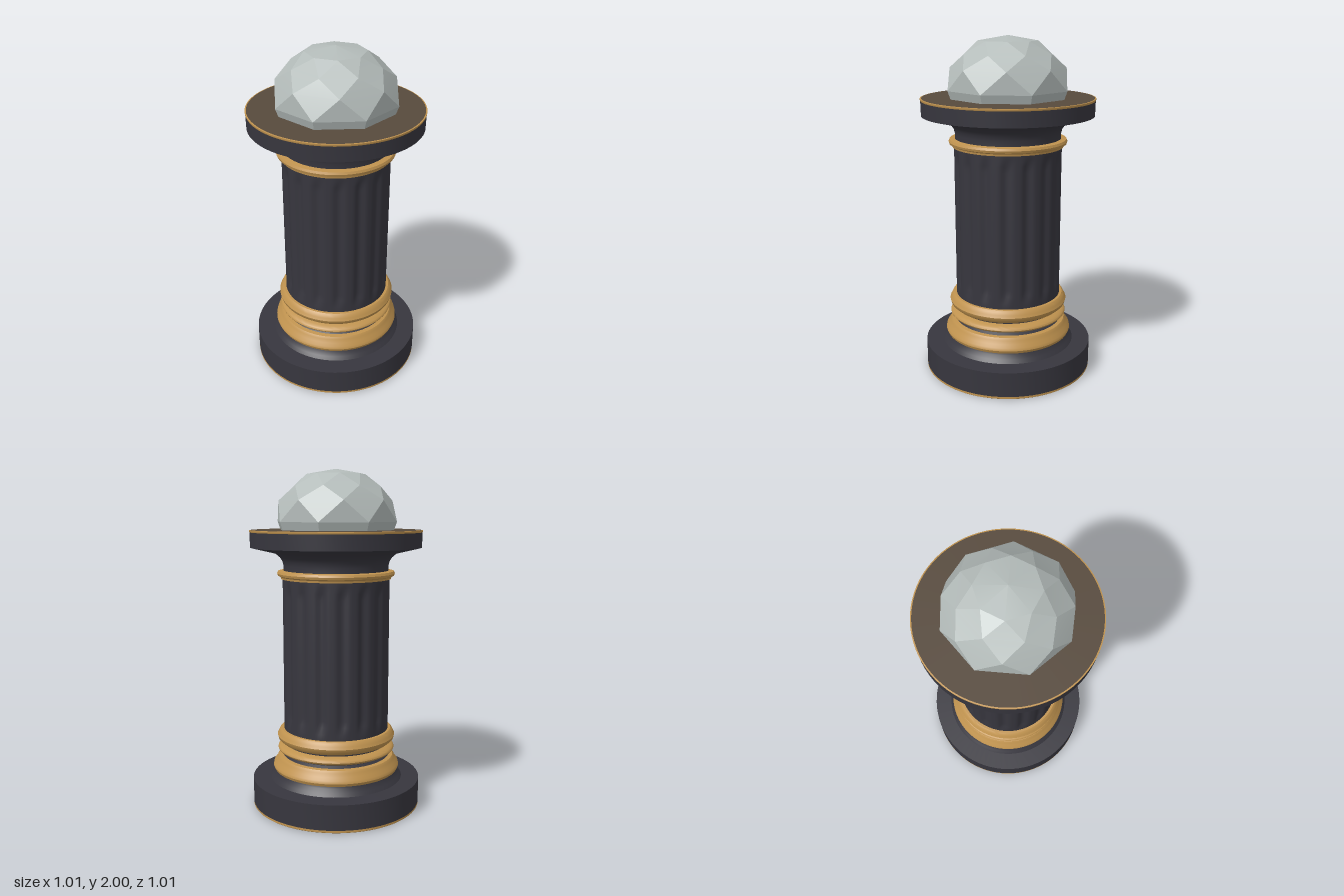
import * as THREE from 'three';
import { toCreasedNormals } from 'three/addons/utils/BufferGeometryUtils.js';

const mat = (name, color) => {
  const m = new THREE.MeshStandardMaterial({ color });
  m.name = name;
  return m;
};

export function createModel() {
  const group = new THREE.Group();
  const charcoal = mat('charcoal stone', 0x37363e);
  const gold = mat('gold trim', 0xc0934f);
  const brown = mat('dark bronze', 0x574a3d);
  const pale = mat('pale crystal', 0xb4bcba);

  const add = (name, geometry, material) => {
    const mesh = new THREE.Mesh(geometry, material);
    mesh.name = name;
    group.add(mesh);
    return mesh;
  };
  // Turned part from [radius, height] pairs, listed bottom to top
  const turn = (name, material, pts) => add(name, toCreasedNormals(
    new THREE.LatheGeometry(pts.map(p => new THREE.Vector2(...p)), 80), 0.6), material);
  // Rounded moulding bulging between two heights
  const moulding = (name, r0, y0, rMax, r1, y1) => {
    const pts = [];
    for (let i = 0; i <= 10; i++) {
      const t = i / 10, base = r0 + (r1 - r0) * t;
      pts.push([base + (rMax - (r0 + r1) / 2) * Math.sin(Math.PI * t) ** 0.7, y0 + (y1 - y0) * t]);
    }
    turn(name, gold, pts);
  };

  // Plinth
  turn('plinthUnderside', brown, [[0, 0], [0.5, 0]]);
  turn('plinthTrim', gold, [[0.5, 0], [0.505, 0.004], [0.505, 0.016]]);
  turn('plinth', charcoal, [[0.505, 0.016], [0.505, 0.165], [0.4, 0.167], [0.385, 0.185],
    [0.365, 0.205], [0.36, 0.225]]);

  // Stacked base mouldings with dark grooves between them
  turn('baseCore', charcoal, [[0.36, 0.22], [0.335, 0.3], [0.305, 0.32], [0.305, 0.48]]);
  turn('lowerMoulding', gold, [[0.355, 0.215], [0.375, 0.221], [0.382, 0.238], [0.378, 0.255],
    [0.362, 0.27], [0.355, 0.292], [0.345, 0.305], [0.32, 0.309]]);
  moulding('middleMoulding', 0.305, 0.325, 0.352, 0.305, 0.376);
  turn('upperMoulding', gold, [[0.3, 0.388], [0.33, 0.392], [0.35, 0.41], [0.355, 0.43],
    [0.347, 0.445], [0.34, 0.46], [0.33, 0.469], [0.29, 0.471]]);

  // Fluted shaft: grooves fade out near both ends
  const shaft = new THREE.CylinderGeometry(0.315, 0.315, 0.92, 144, 24, true);
  const p = shaft.attributes.position;
  for (let i = 0; i < p.count; i++) {
    const a = Math.atan2(p.getX(i), p.getZ(i));
    const fade = THREE.MathUtils.smoothstep(0.46 - Math.abs(p.getY(i)), 0.03, 0.09);
    const groove = Math.max(0, Math.cos(a * 16)) ** 0.7;
    const r = 0.315 - 0.016 * groove * fade;
    p.setXYZ(i, r * Math.sin(a), p.getY(i) + 0.925, r * Math.cos(a));
  }
  shaft.computeVertexNormals();
  add('flutedShaft', toCreasedNormals(shaft, 0.6), charcoal);

  // Capital
  turn('neckTrim', gold, [[0.3, 1.37], [0.324, 1.371], [0.326, 1.382], [0.342, 1.39],
    [0.346, 1.403], [0.34, 1.416], [0.3, 1.422]]);
  turn('capital', charcoal, [[0.31, 1.415], [0.309, 1.45], [0.315, 1.475], [0.328, 1.495],
    [0.348, 1.512], [0.36, 1.52], [0.5, 1.553], [0.502, 1.642]]);
  turn('capitalTrim', gold, [[0.502, 1.64], [0.504, 1.644], [0.504, 1.652], [0.496, 1.653]]);
  turn('capitalTop', brown, [[0.497, 1.653], [0, 1.653]]);

  // Faceted dome: rings of eight corners, alternately turned by half a step
  const rings = [[0.34, 1.645, 0], [0.36, 1.7, 0], [0.333, 1.82, 0.5], [0.262, 1.9, 0],
    [0.172, 1.97, 0.5]];
  const N = 8, verts = [], index = [];
  rings.forEach(([r, y, turnBy]) => {
    for (let i = 0; i < N; i++) {
      const a = (i + turnBy) / N * Math.PI * 2;
      verts.push(r * Math.sin(a), y, r * Math.cos(a));
    }
  });
  verts.push(0, 2, 0);
  for (let k = 0; k < rings.length; k++) {
    for (let i = 0; i < N; i++) {
      const j = (i + 1) % N, a = k * N + i, b = k * N + j;
      if (k === rings.length - 1) { index.push(a, b, N * rings.length); continue; }
      const c = a + N, d = b + N;
      // the diagonal follows the direction in which the next ring is turned
      if (rings[k + 1][2] >= rings[k][2]) index.push(a, b, c, b, d, c);
      else index.push(a, b, d, a, d, c);
    }
  }
  const dome = new THREE.BufferGeometry();
  dome.setAttribute('position', new THREE.Float32BufferAttribute(verts, 3));
  dome.setIndex(index);
  add('facetedDome', toCreasedNormals(dome, 0.25), pale);

  return group;
}
